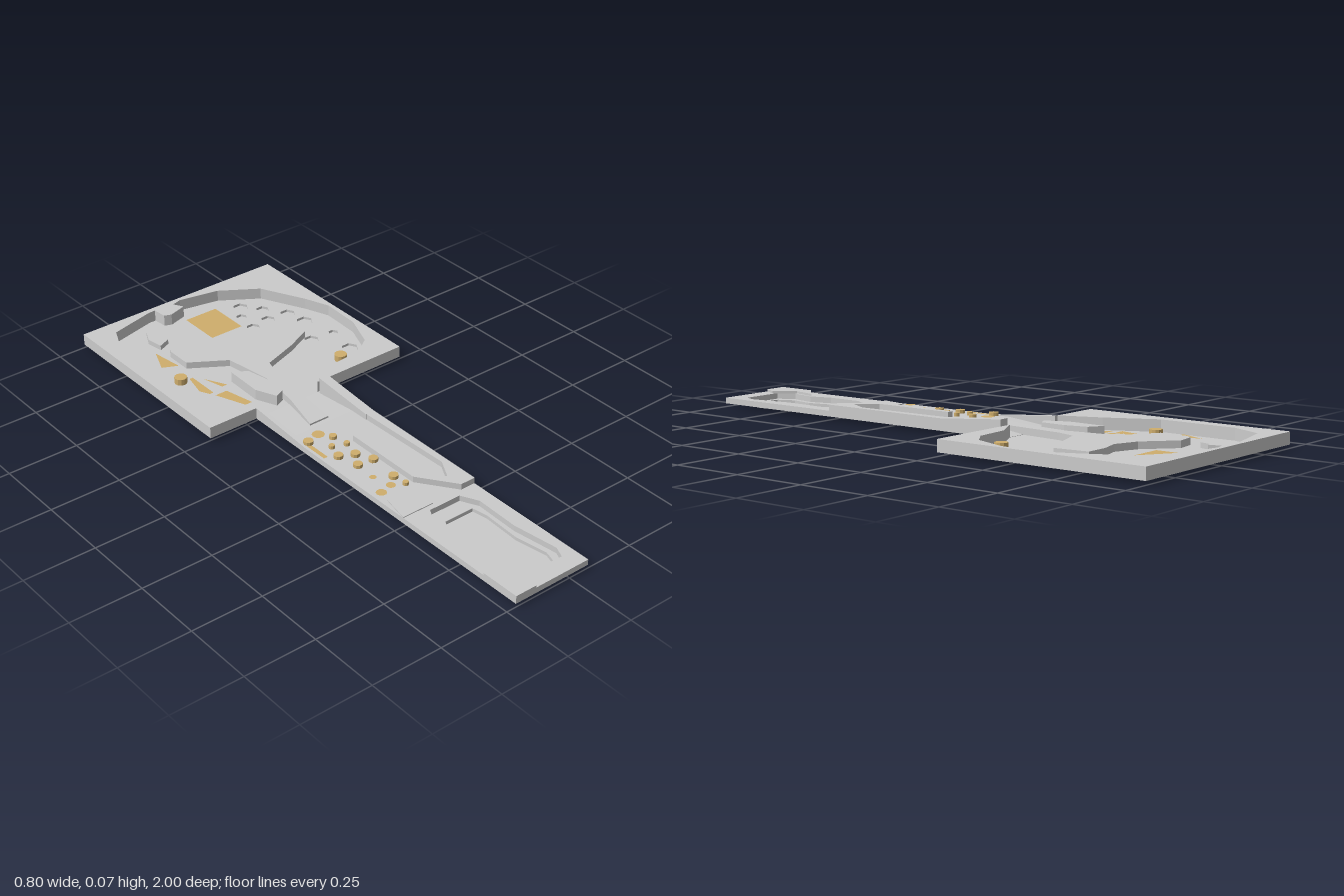
import * as THREE from 'three';

const grey = new THREE.MeshStandardMaterial({ color: 0xcccccc, flatShading: true, side: THREE.DoubleSide });
const gold = new THREE.MeshStandardMaterial({ color: 0xcfae6c, flatShading: true, side: THREE.DoubleSide });

// Main levels
const LOW = 0.012, MID = 0.032, TOP = 0.053;

// Outlines are [x, z] pairs seen from above
const ring = (pts) => pts.map(([x, z]) => new THREE.Vector2(x, -z));
function outline(pts, holes = []) {
  const s = new THREE.Shape(ring(pts));
  holes.forEach((h) => s.holes.push(new THREE.Path(ring(h))));
  return s;
}
const rect = (x0, x1, z0, z1) => [[x0, z0], [x1, z0], [x1, z1], [x0, z1]];
const polygon = (x, z, r, n) => Array.from({ length: n }, (_, i) => {
  const a = (i / n) * Math.PI * 2;
  return [x + r * Math.cos(a), z + r * Math.sin(a)];
});

export function createModel() {
  const model = new THREE.Group();
  const add = (name, geo, mat = grey) => {
    const mesh = new THREE.Mesh(geo, mat);
    mesh.name = name;
    model.add(mesh);
    return mesh;
  };
  // Flat sheet at height y
  const sheet = (name, pts, y, holes, mat) =>
    add(name, new THREE.ShapeGeometry(outline(pts, holes)).rotateX(-Math.PI / 2).translate(0, y, 0), mat);
  // Solid between two heights
  const prism = (name, pts, y0, y1, holes, mat) =>
    add(name, new THREE.ExtrudeGeometry(outline(pts, holes), { depth: y1 - y0, bevelEnabled: false })
      .rotateX(-Math.PI / 2).translate(0, y0, 0), mat);
  // Upright strip along a path
  const wall = (name, pts, y0, y1, closed = true) => {
    const pos = [], idx = [];
    const path = closed ? [...pts, pts[0]] : pts;
    path.forEach(([x, z], i) => {
      pos.push(x, y0, z, x, y1, z);
      if (i) idx.push(2 * i - 2, 2 * i, 2 * i - 1, 2 * i - 1, 2 * i, 2 * i + 1);
    });
    const g = new THREE.BufferGeometry();
    g.setAttribute('position', new THREE.Float32BufferAttribute(pos, 3));
    g.setIndex(idx);
    const flat = g.toNonIndexed();
    flat.computeVertexNormals();
    return add(name, flat);
  };
  // Solid with a [z, y] side profile, running from x0 to x1
  const sideSolid = (name, profile, x0, x1) =>
    add(name, new THREE.ExtrudeGeometry(
      new THREE.Shape(profile.map(([z, y]) => new THREE.Vector2(-z, y))),
      { depth: x1 - x0, bevelEnabled: false }).rotateY(Math.PI / 2).translate(x0, 0, 0));

  // Bowl in the square head, open toward the arm
  const bowl = [
    [0.04, -0.245], [0.14, -0.3], [0.27, -0.31], [0.335, -0.355], [0.38, -0.475], [0.385, -0.62],
    [0.35, -0.71], [0.27, -0.87], [0.14, -0.955], [-0.005, -0.985], [-0.04, -0.975], [-0.02, -0.94],
    [-0.085, -0.92], [-0.11, -0.93], [-0.115, -0.98], [-0.14, -0.98], [-0.305, -0.94], [-0.355, -0.83],
    [-0.355, -0.555], [-0.27, -0.385], [-0.215, -0.245],
  ];
  const rim = [[-0.4, -0.245], [-0.4, -1], [0.4, -1], [0.4, -0.245]];
  sheet('headRim', [...rim, ...bowl], TOP);
  wall('headOuterWall', [bowl[bowl.length - 1], ...rim, bowl[0]], LOW, TOP, false);
  wall('bowlWall', bowl, LOW, TOP, false);

  // Bowl floor with its six-sided pits
  const pits = [
    [0.175, -0.865, 0.028], [0.137, -0.807, 0.02], [0.227, -0.802, 0.024], [0.127, -0.723, 0.025],
    [0.2, -0.733, 0.026], [0.28, -0.723, 0.028], [0.295, -0.644, 0.03], [0.235, -0.527, 0.027],
    [0.325, -0.517, 0.018], [0.305, -0.4, 0.03],
  ].map(([x, z, r]) => polygon(x, z, r, 6));
  sheet('bowlFloor', bowl, LOW, pits);
  pits.forEach((p) => {
    wall('pitWall', p, 0.003, LOW);
    sheet('pitFloor', p, 0.003);
  });

  // Raised path through the bowl and loose rocks
  prism('plateau', [
    [-0.2, -0.765], [-0.13, -0.775], [-0.03, -0.685], [0.055, -0.655], [0.13, -0.675], [0.215, -0.675],
    [0.228, -0.555], [0.135, -0.51], [0.005, -0.465], [-0.017, -0.395], [-0.03, -0.25], [-0.045, -0.08],
    [-0.12, -0.08], [-0.08, -0.24], [-0.063, -0.395], [-0.09, -0.565], [-0.215, -0.645], [-0.215, -0.74],
  ], LOW, 0.036);
  prism('longRock', [[-0.145, -0.48], [-0.095, -0.45], [-0.078, -0.37], [-0.08, -0.28], [-0.115, -0.265],
    [-0.148, -0.34]], LOW, 0.05);
  prism('smallRock', [[-0.2, -0.91], [-0.165, -0.91], [-0.155, -0.87], [-0.17, -0.82], [-0.215, -0.8],
    [-0.225, -0.86]], LOW, 0.03);

  // Arm: ramp up from the bowl, then level ground
  sideSolid('armGround', [[-0.245, LOW], [0.5, LOW], [0.5, MID], [-0.06, MID], [-0.245, LOW + 0.001]], -0.215, 0.075);
  sideSolid('leftBank', [[-0.245, LOW], [0.02, LOW], [0.02, MID], [-0.245, TOP]], -0.215, -0.2);

  // Right-hand wall rising to the head, with its enclosed trench
  sideSolid('risingWall', [[-0.235, LOW], [0.01, LOW], [0.01, TOP], [-0.235, 0.073]], 0.04, 0.075);
  prism('trenchWall', [
    [0.075, 0], [0.075, 0.5], [0.02, 0.5], [-0.07, 0.375], [-0.07, 0.08], [-0.047, 0.08],
    [-0.047, 0.38], [0.015, 0.44], [0.053, 0.37], [0.042, 0],
  ], MID, TOP);
  prism('leftLedge', [[-0.215, 0.5], [-0.195, 0.4], [-0.07, 0.4], [-0.095, 0.5]], MID, 0.035);

  // Far end of the arm with a two-step basin
  const basin = [[-0.125, 0.52], [-0.005, 0.52], [0.025, 0.58], [0.02, 0.74], [0.042, 0.9], [0.025, 0.94],
    [-0.125, 0.94], [-0.155, 0.88], [-0.138, 0.79], [-0.16, 0.71], [-0.16, 0.58]];
  const basinInner = [[-0.11, 0.575], [0, 0.575], [0.01, 0.63], [0.003, 0.765], [0.022, 0.88], [0.01, 0.92],
    [-0.105, 0.92], [-0.132, 0.86], [-0.116, 0.775], [-0.137, 0.69], [-0.137, 0.62]];
  prism('endGround', rect(-0.215, 0.075, 0.5, 1), LOW, MID, [basin]);
  prism('basinShelf', basin, 0.006, LOW, [basinInner]);
  wall('basinInnerWall', basinInner, 0, 0.006);
  sheet('basinFloor', basinInner, 0);
  prism('cornerLedge', [[-0.215, 0.86], [-0.145, 0.79], [-0.165, 0.88], [-0.11, 0.95], [-0.135, 1], [-0.215, 1]],
    MID, 0.04);

  // Round posts: x, z, radius, base, top
  [[-0.28, -0.585, 0.022], [0.232, -0.36, 0.022]].forEach(([x, z, r]) =>
    prism('bowlPost', polygon(x, z, r, 12), LOW, 0.034, [], gold));
  [
    [-0.19, 0, 0.017], [-0.11, 0.026, 0.013], [-0.148, 0.068, 0.01], [-0.1, 0.085, 0.01], [-0.165, 0.123, 0.016],
    [-0.116, 0.148, 0.016], [-0.148, 0.2, 0.016], [-0.09, 0.206, 0.016], [-0.1, 0.317, 0.016], [-0.095, 0.37, 0.01],
  ].forEach(([x, z, r]) => prism('armPost', polygon(x, z, r, 10), MID, 0.044, [], gold));
  [[-0.137, -0.016, 0.022], [-0.153, 0.28, 0.012], [-0.137, 0.348, 0.016], [-0.185, 0.36, 0.018]].forEach(([x, z, r]) =>
    sheet('groundDisc', polygon(x, z, r, 10), 0.0365, [], gold));

  // Flat coloured patches
  [
    [rect(-0.032, 0.095, -0.908, -0.75), 0.016],
    [[[-0.253, -0.775], [-0.29, -0.685], [-0.237, -0.66]], 0.025],
    [[[-0.216, -0.545], [-0.174, -0.465], [-0.195, -0.465]], 0.02],
    [[[-0.248, -0.44], [-0.195, -0.44], [-0.17, -0.33], [-0.205, -0.33]], 0.016],
    [[[-0.248, -0.58], [-0.235, -0.58], [-0.235, -0.46], [-0.275, -0.46]], 0.015],
    [rect(-0.205, -0.19, 0.01, 0.1), 0.033],
    [rect(-0.075, -0.045, 0.55, 0.565), 0.008],
    [[[-0.155, 0.625], [-0.14, 0.64], [-0.145, 0.665]], 0.01],
  ].forEach(([pts, y]) => sheet('patch', pts, y, [], gold));

  return model;
}
